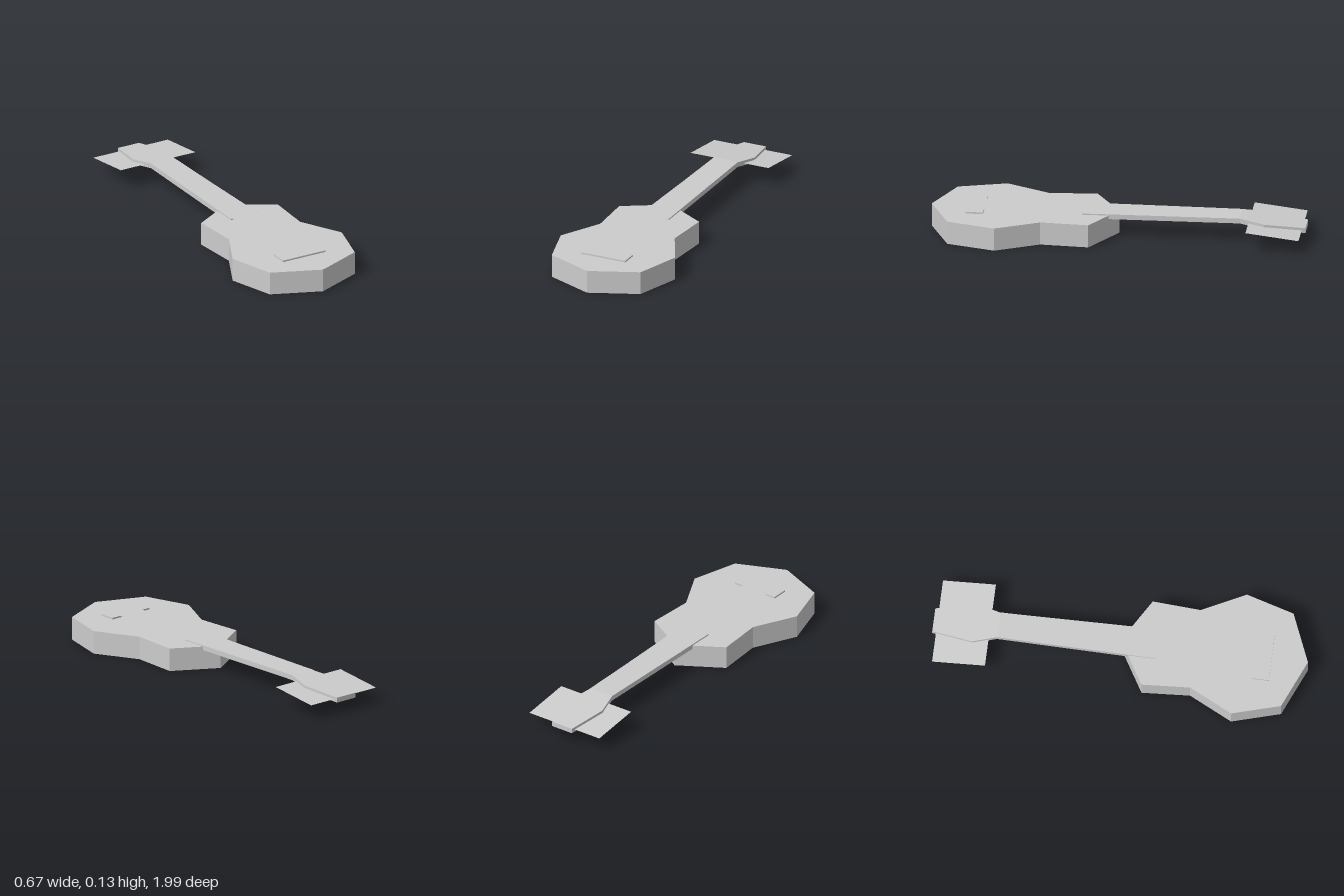
import * as THREE from 'three';

const grey = new THREE.MeshStandardMaterial({ color: 0xcccccc, flatShading: true, side: THREE.DoubleSide });
grey.name = 'plain grey';

// Height of the neck's upper face: level, then sloping back along the headstock
const NECK_TOP = 0.132, BEND = -0.65;
const neckTop = z => NECK_TOP - Math.max(0, BEND - z) * 0.12;

// Half outline of [x, z] points, mirrored into a closed shape
function mirroredShape(half) {
  const other = half.filter(p => p[0] > 0).reverse().map(([x, z]) => [-x, z]);
  return new THREE.Shape([...half, ...other].map(([x, z]) => new THREE.Vector2(x, -z)));
}

// Thin sheet whose height follows a rule of z
function sheet(half, height) {
  const g = new THREE.ShapeGeometry(mirroredShape(half)).rotateX(-Math.PI / 2);
  const p = g.attributes.position;
  for (let i = 0; i < p.count; i++) p.setY(i, height(p.getZ(i)));
  g.computeVertexNormals();
  return g;
}

// Rectangular sections [z, halfWidth] joined into a bent bar
function bar(stations, thickness) {
  const pos = [], index = [];
  for (const [z, w] of stations) {
    const y = neckTop(z);
    pos.push(-w, y, z, w, y, z, w, y - thickness, z, -w, y - thickness, z);
  }
  for (let s = 0; s < stations.length - 1; s++) {
    for (let k = 0; k < 4; k++) {
      const a = s * 4 + k, b = s * 4 + (k + 1) % 4;
      index.push(a, b, b + 4, a, b + 4, a + 4);
    }
  }
  const e = (stations.length - 1) * 4;
  index.push(0, 2, 1, 0, 3, 2, e, e + 1, e + 2, e, e + 2, e + 3);
  const g = new THREE.BufferGeometry();
  g.setAttribute('position', new THREE.Float32BufferAttribute(pos, 3));
  g.setIndex(index);
  const flat = g.toNonIndexed();
  flat.computeVertexNormals();
  return flat;
}

export function createModel() {
  const model = new THREE.Group();
  model.name = 'guitar';
  const add = (name, geometry) => {
    const m = new THREE.Mesh(geometry, grey);
    m.name = name;
    model.add(m);
    return m;
  };

  // Waisted body
  const outline = [[0, 0], [0.236, 0.14], [0.22, 0.397], [0.337, 0.63], [0.262, 0.887], [0, 0.997]];
  add('body', new THREE.ExtrudeGeometry(mirroredShape(outline), { depth: 0.125, bevelEnabled: false })
    .rotateX(-Math.PI / 2));

  // Sound hole panel on the body's face
  add('soundHole', sheet([[0.137, 0.48], [0.137, 0.21]], () => 0.1265));

  // Bridge
  add('bridge', new THREE.BoxGeometry(0.26, 0.01, 0.093)).position.set(0, 0.129, 0.758);

  // Neck and bent headstock
  add('neck', bar([[0.19, 0.083], [BEND, 0.07], [-0.78, 0.105], [-0.997, 0.065]], 0.027));

  // String sheet: level run, then the forked end on the headstock
  add('strings', sheet([[0.08, 0.755], [0.07, BEND]], () => 0.1345));
  add('stringEnds', sheet([[0.07, BEND], [0.08, -0.78], [0.047, -0.927], [0, -0.866]],
    z => neckTop(z) + 0.0025));

  // Tuner plate passing through the headstock
  add('tuners', sheet([[0.23, -0.695], [0.23, -0.977]], z => neckTop(z) - 0.014));

  return model;
}
